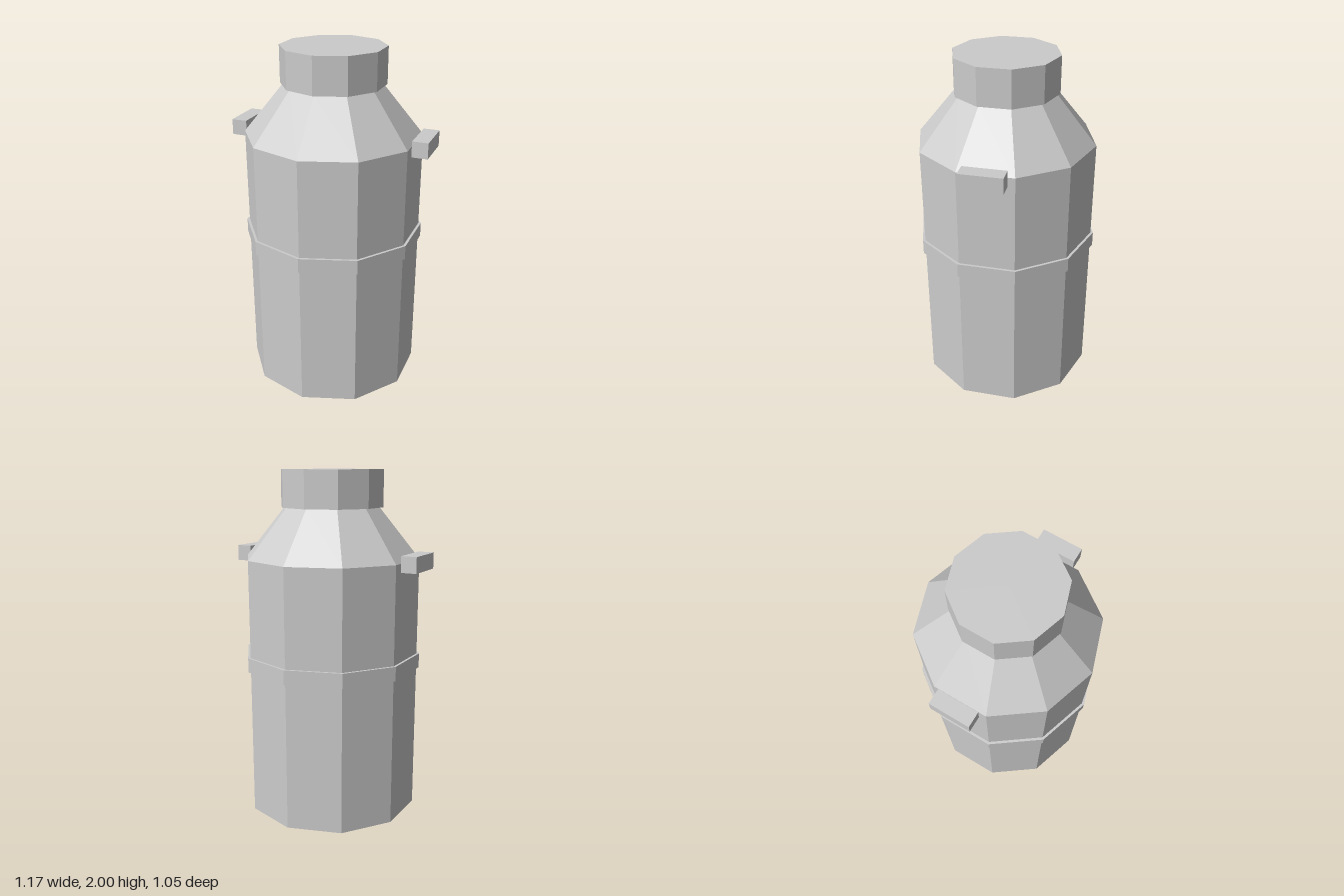
import * as THREE from 'three';

const SIDES = 10;

export function createModel() {
  const group = new THREE.Group();
  const material = new THREE.MeshStandardMaterial({ color: 0xcccccc, flatShading: true });

  const add = (name, geometry, x = 0, y = 0, z = 0) => {
    const mesh = new THREE.Mesh(geometry, material);
    mesh.name = name;
    mesh.position.set(x, y, z);
    group.add(mesh);
  };

  // Ten-sided solid of revolution from a [radius, height] profile, bottom to top
  const turned = (profile) =>
    new THREE.LatheGeometry(profile.map(([r, y]) => new THREE.Vector2(r, y)), SIDES);

  // Straight body with sloping shoulder
  add('body', turned([[0, 0], [0.51, 0], [0.51, 1.505], [0.278, 1.79], [0, 1.79]]));

  // Reinforcing hoop around the middle
  add('hoop', turned([[0.5, 0.862], [0.525, 0.862], [0.525, 0.946], [0.5, 0.946]]));

  // Lid, slightly wider than the neck
  add('lid', turned([[0, 1.79], [0.299, 1.79], [0.299, 2], [0, 2]]));

  // Block handles beside the shoulder
  for (const side of [1, -1]) {
    add(side > 0 ? 'leftHandle' : 'rightHandle',
      new THREE.BoxGeometry(0.09, 0.09, 0.24), side * 0.541, 1.505, 0);
  }

  return group;
}
